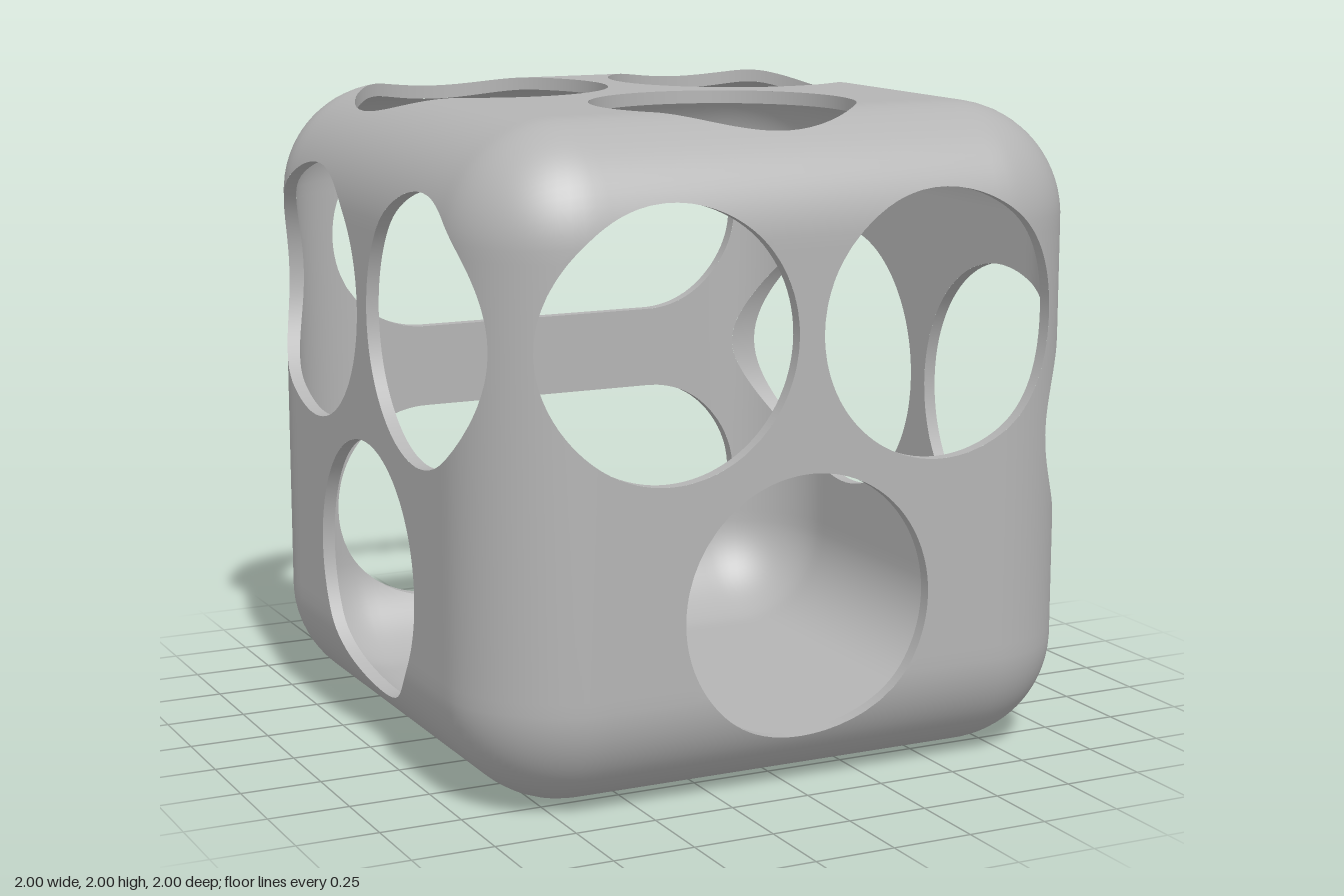
import * as THREE from 'three';

const CORE = 0.65;          // half size of the flat part of each face
const OUTER = 0.35;         // edge radius outside
const INNER = 0.31;         // edge radius inside (wall is 0.04 thick)
const AXES = { x: ['z', 'y'], y: ['x', 'z'], z: ['x', 'y'] };

// Each hole is a circle, or a slot when half > 0 (u, v follow AXES)
const hole = (name, axis, sign, u, v, r, half = 0) => ({ name, axis, sign, u, v, r, half });
const trio = (name, axis, sign, flip = 1) => [
  hole(name + 'HoleA', axis, sign, -0.443, 0.378 * flip, 0.402),
  hole(name + 'HoleB', axis, sign, 0.443, 0.378 * flip, 0.402),
  hole(name + 'HoleC', axis, sign, 0, -0.43 * flip, 0.402),
];
const HOLES = [
  ...trio('front', 'z', 1),
  ...trio('rightSide', 'x', -1),
  ...trio('top', 'y', 1, -1),
  hole('leftSideFrontHole', 'x', 1, 0.493, 0.005, 0.45),
  hole('leftSideBackHole', 'x', 1, -0.493, 0.005, 0.45),
  hole('backUpperSlot', 'z', -1, 0, 0.47, 0.33, 0.425),
  hole('backLowerSlot', 'z', -1, 0, -0.465, 0.33, 0.425),
  hole('bottomHole', 'y', -1, 0, 0, 0.14),
];

// Distance from a surface point to the nearest hole edge, negative inside a hole
function holeDistance(p) {
  let d = 1;
  for (const h of HOLES) {
    if (p[h.axis] * h.sign < CORE) continue;
    const [a, b] = AXES[h.axis];
    const du = Math.max(Math.abs(p[a] - h.u) - h.half, 0);
    d = Math.min(d, Math.hypot(du, p[b] - h.v) - h.r);
  }
  return d;
}

// Cube point to rounded cube point, with its normal
const coreMin = new THREE.Vector3().setScalar(-CORE);
const coreMax = new THREE.Vector3().setScalar(CORE);
function surfacePoint(cube, radius) {
  const core = cube.clone().clamp(coreMin, coreMax);
  const n = cube.clone().sub(core).normalize();
  return { cube, n, p: core.addScaledVector(n, radius) };
}

// Collects triangles, turning each to agree with its normals
class Builder {
  positions = [];
  normals = [];
  add(a, b, c, facing = 1) {
    const cross = b.p.clone().sub(a.p).cross(c.p.clone().sub(a.p));
    const order = cross.dot(a.n) * facing < 0 ? [a, c, b] : [a, b, c];
    for (const q of order) {
      this.positions.push(q.p.x, q.p.y, q.p.z);
      this.normals.push(q.n.x * facing, q.n.y * facing, q.n.z * facing);
    }
  }
  mesh(name, material) {
    const g = new THREE.BufferGeometry();
    g.setAttribute('position', new THREE.Float32BufferAttribute(this.positions, 3));
    g.setAttribute('normal', new THREE.Float32BufferAttribute(this.normals, 3));
    const m = new THREE.Mesh(g, material);
    m.name = name;
    return m;
  }
}

// Point on a hole's edge between a kept and a removed corner
function edgePoint(keep, cut, radius) {
  let lo = 0, hi = 1;
  for (let i = 0; i < 16; i++) {
    const mid = (lo + hi) / 2;
    const q = surfacePoint(keep.cube.clone().lerp(cut.cube, mid), radius);
    if (holeDistance(q.p) > 0) lo = mid; else hi = mid;
  }
  return surfacePoint(keep.cube.clone().lerp(cut.cube, lo), radius);
}

// Rounded cube skin with the holes trimmed out
function skin(name, radius, facing, material) {
  const n = 48;
  const box = new THREE.BoxGeometry(2, 2, 2, n, n, n);
  const verts = [];
  for (let i = 0; i < box.attributes.position.count; i++) {
    const cube = new THREE.Vector3().fromBufferAttribute(box.attributes.position, i);
    const q = surfacePoint(cube, radius);
    q.keep = holeDistance(q.p) > 0;
    verts.push(q);
  }
  const out = new Builder();
  const index = box.index.array;
  for (let i = 0; i < index.length; i += 3) {
    const tri = [verts[index[i]], verts[index[i + 1]], verts[index[i + 2]]];
    const poly = [];
    tri.forEach((a, k) => {
      const b = tri[(k + 1) % 3];
      if (a.keep) poly.push(a);
      if (a.keep !== b.keep) poly.push(a.keep ? edgePoint(a, b, radius) : edgePoint(b, a, radius));
    });
    for (let k = 2; k < poly.length; k++) out.add(poly[0], poly[k - 1], poly[k], facing);
  }
  return out.mesh(name, material);
}

// Wall of one hole, running from the outer skin to the inner skin
function rim(h, material) {
  const [a, b] = AXES[h.axis];
  const out = new Builder();
  const corner = (angle, side, radius) => {
    const c = Math.cos(angle), s = Math.sin(angle);
    const u = h.u + side * h.half + h.r * c, v = h.v + h.r * s;
    const du = Math.max(Math.abs(u) - CORE, 0), dv = Math.max(Math.abs(v) - CORE, 0);
    const p = new THREE.Vector3(), n = new THREE.Vector3();
    p[a] = u;
    p[b] = v;
    p[h.axis] = h.sign * (CORE + Math.sqrt(Math.max(radius * radius - du * du - dv * dv, 0)));
    n[a] = -c;
    n[b] = -s;
    return { p, n };
  };
  const steps = 48;
  const stops = [];
  for (const side of [1, -1]) {
    for (let i = 0; i <= steps; i++) {
      stops.push([(i / steps - 0.5) * Math.PI + (side < 0 ? Math.PI : 0), side]);
    }
  }
  stops.forEach((s, i) => {
    const t = stops[(i + 1) % stops.length];
    const o1 = corner(...s, OUTER), o2 = corner(...t, OUTER);
    const i1 = corner(...s, INNER), i2 = corner(...t, INNER);
    if (o1.p.distanceTo(o2.p) < 1e-6) return;
    out.add(o1, o2, i2);
    out.add(o1, i2, i1);
  });
  return out.mesh(h.name + 'Rim', material);
}

export function createModel() {
  const grey = new THREE.MeshStandardMaterial({ color: 0xb4b4b4 });
  grey.name = 'grey';

  const cube = new THREE.Group();
  cube.name = 'hollowCube';
  cube.add(skin('outerShell', OUTER, 1, grey), skin('innerShell', INNER, -1, grey));
  for (const h of HOLES) cube.add(rim(h, grey));
  cube.position.y = 1;

  const model = new THREE.Group();
  model.name = 'model';
  model.add(cube);
  return model;
}
